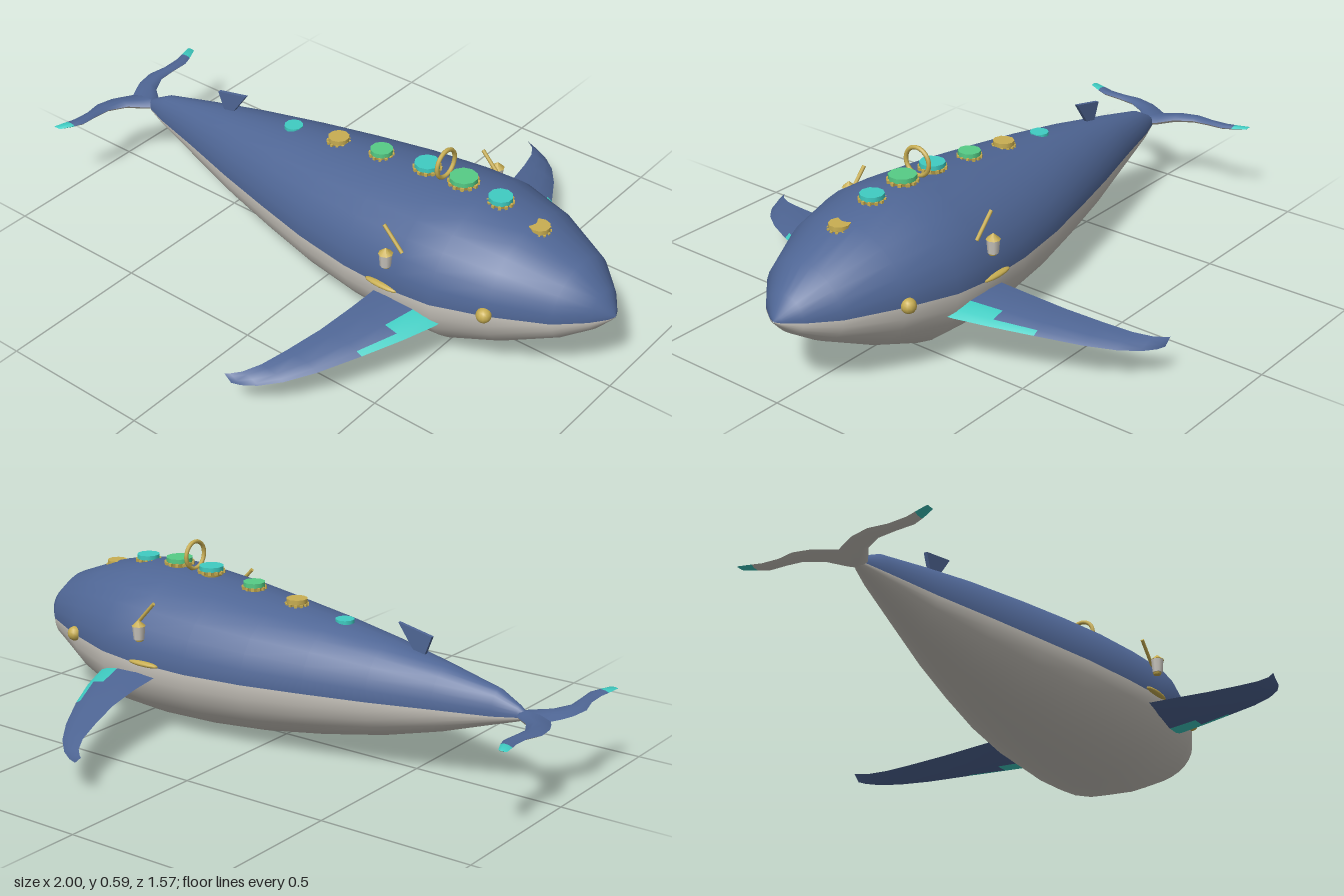
import * as THREE from 'three';
import { toCreasedNormals } from 'three/addons/utils/BufferGeometryUtils.js';

const mat = (name, color) => {
  const m = new THREE.MeshStandardMaterial({ color });
  m.name = name;
  return m;
};

// Skin a list of closed rings; pick(i, j) gives the material index of each quad
function loft(rings, pick, flip, crease) {
  const n = rings[0].length, buckets = [];
  for (let i = 0; i < rings.length - 1; i++) {
    for (let j = 0; j < n; j++) {
      const k = (j + 1) % n;
      const a = i * n + j, b = i * n + k, c = b + n, d = a + n;
      const list = (buckets[pick(i, j)] ??= []);
      list.push(...(flip ? [a, c, d, a, b, c] : [a, d, c, a, c, b]));
    }
  }
  let geo = new THREE.BufferGeometry();
  geo.setAttribute('position', new THREE.Float32BufferAttribute(rings.flat(2), 3));
  geo.setIndex(buckets.flat());
  let start = 0;
  buckets.forEach((list, m) => {
    geo.addGroup(start, list.length, m);
    start += list.length;
  });
  if (crease) geo = toCreasedNormals(geo, crease);
  else geo.computeVertexNormals();
  return geo;
}

// Lens-shaped blade reaching out sideways; stations are [z, xTrail, xLead, y, halfThickness]
function blade(stations, side, twist, pick) {
  const us = [0, 0.3, 0.66, 0.88, 1, 0.88, 0.66, 0.3];
  const ts = [0, 0.8, 1, 0.65, 0, -0.65, -1, -0.8];
  const rings = stations.map(([z, xt, xl, y, th]) => us.map((u, j) =>
    [xt + (xl - xt) * u, y + ts[j] * th + twist * (0.5 - u), z * side]));
  return loft(rings, pick, side < 0, 0.8);
}

export function createModel() {
  const model = new THREE.Group();
  const blue = mat('hide blue', 0x4f6695);
  const pale = mat('belly grey', 0xc9c5bd);
  const gold = mat('brass', 0xc8ae52);
  const teal = mat('teal', 0x3fccc2);
  const green = mat('green', 0x56cc86);

  const add = (name, geo, material, x = 0, y = 0, z = 0, parent = model) => {
    const m = new THREE.Mesh(geo, material);
    m.name = name;
    m.position.set(x, y, z);
    parent.add(m);
    return m;
  };

  // Body: stations are [x, half width, top, colour line, bottom]
  const stations = [
    [-0.88, 0.008, 0.262, 0.255, 0.248], [-0.85, 0.022, 0.285, 0.252, 0.235],
    [-0.78, 0.045, 0.322, 0.247, 0.212], [-0.6, 0.09, 0.362, 0.242, 0.15],
    [-0.4, 0.146, 0.4, 0.238, 0.095], [-0.2, 0.196, 0.43, 0.236, 0.055],
    [0, 0.243, 0.453, 0.235, 0.025], [0.2, 0.275, 0.477, 0.236, 0.008],
    [0.4, 0.29, 0.495, 0.243, 0.002], [0.53, 0.287, 0.5, 0.254, 0.008],
    [0.7, 0.238, 0.468, 0.266, 0.075], [0.87, 0.152, 0.402, 0.268, 0.16],
    [0.95, 0.075, 0.335, 0.266, 0.213], [0.985, 0.025, 0.285, 0.264, 0.25],
    [0.995, 0.002, 0.266, 0.264, 0.262],
  ];
  const N = 28;
  const bodyRings = stations.map(([x, w, top, mid, bottom]) =>
    Array.from({ length: N }, (_, j) => {
      const a = (j / N) * Math.PI * 2, s = Math.sin(a);
      return [x, mid + s * (s > 0 ? top - mid : mid - bottom), w * Math.cos(a)];
    }));
  add('body', loft(bodyRings, (i, j) => (j < N / 2 ? 0 : 1), false, 0), [blue, pale]);

  // Dorsal fin
  const dorsal = new THREE.Shape([
    new THREE.Vector2(-0.52, 0.37), new THREE.Vector2(-0.49, 0.37),
    new THREE.Vector2(-0.425, 0.46), new THREE.Vector2(-0.545, 0.435),
  ]);
  add('dorsalFin', new THREE.ExtrudeGeometry(dorsal, { depth: 0.012, bevelEnabled: false }), blue, 0, 0, -0.006);

  const flipper = [
    [0.2, 0.32, 0.57, 0.197, 0.02], [0.28, 0.32, 0.55, 0.19, 0.019],
    [0.38, 0.312, 0.51, 0.181, 0.016], [0.5, 0.295, 0.45, 0.166, 0.012],
    [0.62, 0.262, 0.38, 0.146, 0.009], [0.7, 0.235, 0.32, 0.132, 0.007],
    [0.75, 0.205, 0.265, 0.122, 0.005], [0.775, 0.178, 0.22, 0.117, 0.003],
    [0.783, 0.165, 0.19, 0.115, 0.0005],
  ];
  const fluke = [
    [0, -0.955, -0.83, 0.257, 0.016], [0.03, -0.972, -0.86, 0.258, 0.015],
    [0.07, -0.99, -0.912, 0.261, 0.013], [0.13, -1, -0.943, 0.264, 0.011],
    [0.19, -0.985, -0.944, 0.268, 0.009], [0.25, -0.985, -0.941, 0.271, 0.008],
    [0.283, -0.992, -0.952, 0.273, 0.006], [0.327, -1, -0.972, 0.276, 0.003],
    [0.33, -0.998, -0.976, 0.276, 0.0005],
  ];

  for (const side of [1, -1]) {
    const half = new THREE.Group();
    half.name = side > 0 ? 'leftSide' : 'rightSide';
    model.add(half);
    const put = (name, geo, material, x, y, z) => add(name, geo, material, x, y, z * side, half);

    // Flipper with a teal patch on the leading edge
    put('flipper', blade(flipper, side, 0.022, (i, j) =>
      (i < 2 && j >= 2 && j <= 5) || (i === 2 && (j === 3 || j === 4)) ? 1 : 0), [blue, teal], 0, 0, 0);

    // Tail fluke: blue above, pale below, teal tip
    put('tailFluke', blade(fluke, side, 0, (i, j) => (i >= 6 ? 2 : j < 4 ? 0 : 1)), [blue, pale, teal], 0, 0, 0);

    // Eye
    put('eye', new THREE.SphereGeometry(0.024, 12, 8), gold, 0.695, 0.27, 0.24);

    // Lantern with brass roof, base and slanted arm
    put('lantern', new THREE.CylinderGeometry(0.021, 0.017, 0.045, 8), pale, 0.37, 0.347, 0.287);
    put('lanternRoof', new THREE.ConeGeometry(0.023, 0.02, 8), gold, 0.37, 0.379, 0.287);
    put('lanternBase', new THREE.CylinderGeometry(0.015, 0.012, 0.008, 8), gold, 0.37, 0.322, 0.285);
    put('lanternArm', new THREE.CylinderGeometry(0.006, 0.006, 0.1, 8), gold, 0.37, 0.402, 0.252)
      .rotation.z = 0.75;

    // Side rail
    put('sideRail', new THREE.SphereGeometry(1, 12, 8), gold, 0.355, 0.245, 0.287)
      .scale.set(0.062, 0.009, 0.014);
  }

  // Toothed hatches along the back: [x, top, radius, lid]
  const hatches = [
    [-0.225, 0.433, 0.034, teal], [-0.04, 0.466, 0.038, gold], [0.13, 0.491, 0.04, green],
    [0.305, 0.515, 0.045, teal], [0.44, 0.522, 0.049, green], [0.575, 0.51, 0.042, teal],
    [0.715, 0.467, 0.037, gold],
  ];
  for (const [x, top, r, lid] of hatches) {
    const hatch = new THREE.Group();
    hatch.name = 'hatch';
    hatch.position.set(x, top, 0);
    model.add(hatch);
    add('hatchBase', new THREE.CylinderGeometry(r * 0.88, r * 0.65, 0.034, 12), gold, 0, -0.03, 0, hatch);
    add('hatchLid', new THREE.CylinderGeometry(r * 0.9, r * 0.9, 0.015, 10), lid, 0, -0.0075, 0, hatch);
    for (let i = 0; i < 12; i++) {
      const a = (i / 12) * Math.PI * 2;
      add('hatchTooth', new THREE.BoxGeometry(r * 0.25, 0.01, r * 0.22), gold,
        Math.cos(a) * r * 0.88, -0.019, Math.sin(a) * r * 0.88, hatch).rotation.y = -a;
    }
  }

  // Upright ring on the back
  add('backRing', new THREE.TorusGeometry(0.045, 0.007, 8, 24), gold, 0.373, 0.538, 0).rotation.y = Math.PI / 2;

  return model;
}
